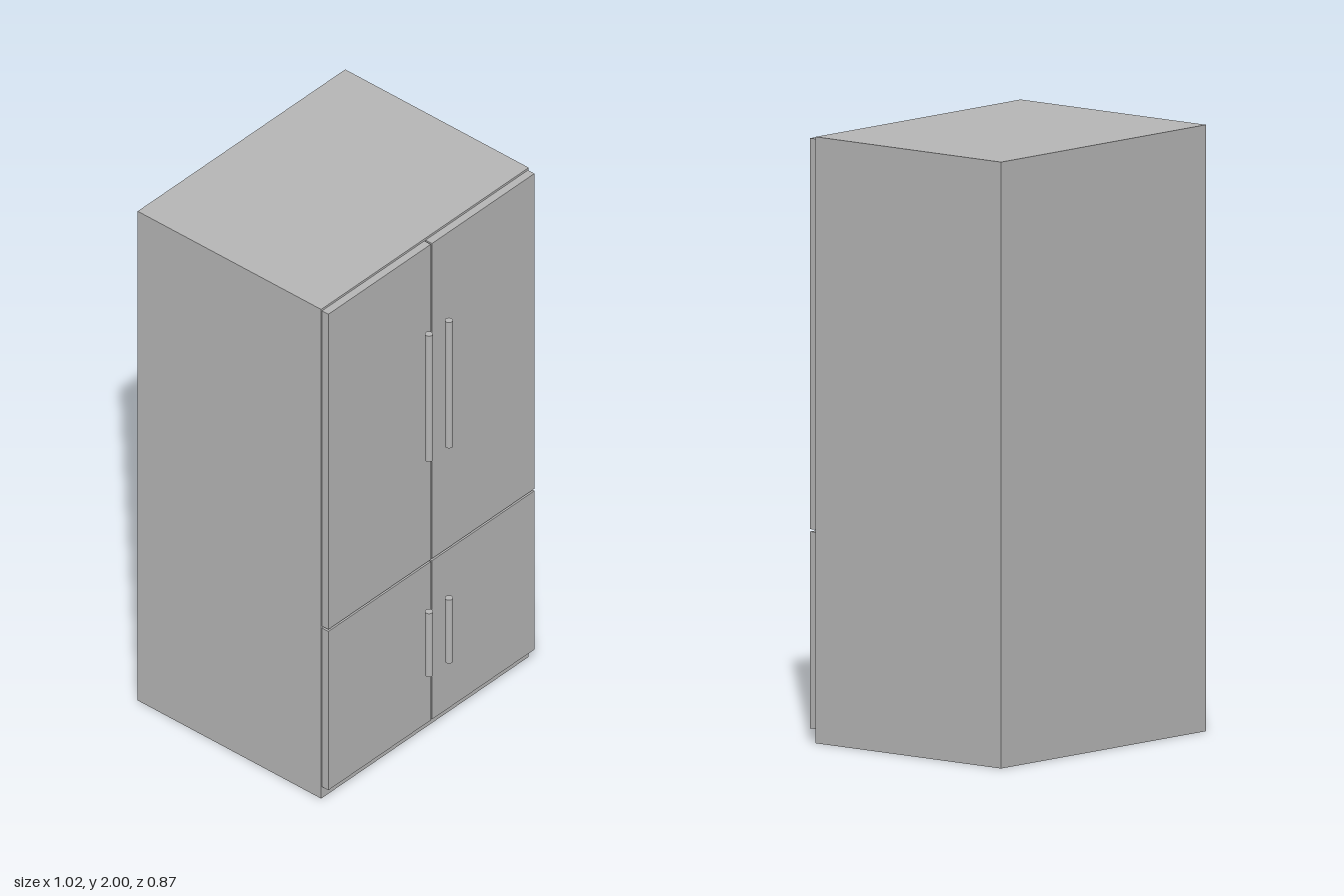
import * as THREE from 'three';

export function createModel() {
  const model = new THREE.Group();
  model.name = 'refrigerator';
  const steel = new THREE.MeshStandardMaterial({ color: 0xb4b4b4 });
  steel.name = 'steel grey';

  const add = (name, geometry, x, y, z) => {
    const mesh = new THREE.Mesh(geometry, steel);
    mesh.name = name;
    mesh.position.set(x, y, z);
    model.add(mesh);
  };

  // Cabinet
  add('cabinet', new THREE.BoxGeometry(1.02, 2, 0.798), 0, 1, -0.037);

  // Door pairs, each with a free-standing vertical bar handle
  const rows = [
    { name: 'upper', door: [0.703, 1.992], handle: [1.155, 1.669] },
    { name: 'lower', door: [0.046, 0.695], handle: [0.275, 0.534] },
  ];
  const inner = 0.003, outer = 0.506;
  for (const { name, door, handle } of rows) {
    for (const [side, label] of [[1, 'Left'], [-1, 'Right']]) {
      add(`${name}${label}Door`,
        new THREE.BoxGeometry(outer - inner, door[1] - door[0], 0.028),
        side * (inner + outer) / 2, (door[0] + door[1]) / 2, 0.376);
      add(`${name}${label}Handle`,
        new THREE.CylinderGeometry(0.0133, 0.0133, handle[1] - handle[0], 32),
        side * 0.049, (handle[0] + handle[1]) / 2, 0.423);
    }
  }
  return model;
}
